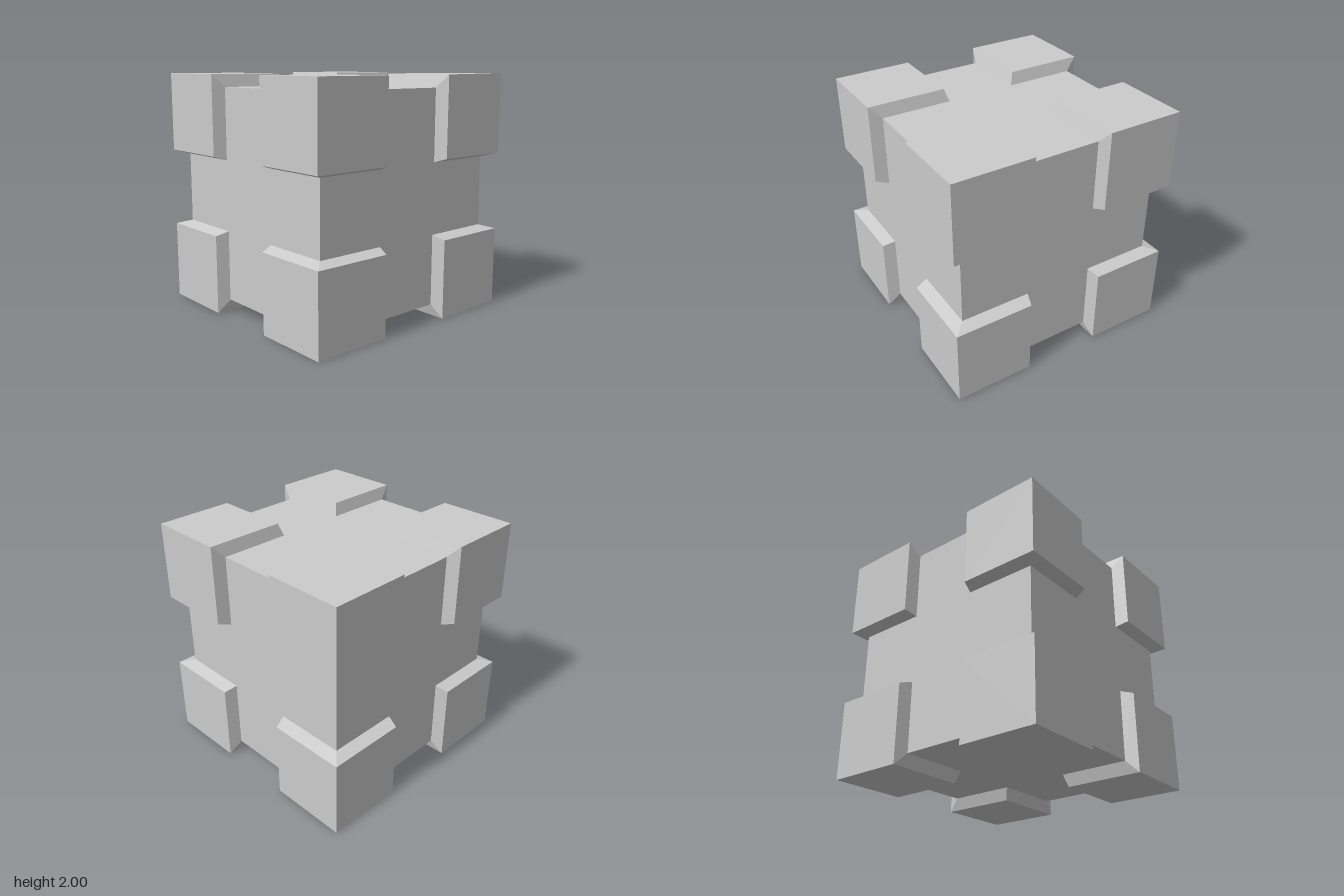
import * as THREE from 'three';

const CORE = 0.896;  // half size of the core cube
const INNER = 0.333; // inner edge of a corner block at its outer face
const FOOT = 0.3;    // inner edge of a corner block where it meets the core

// Corner block: three square outer faces, each with two sloping skirts down to the core
function cornerGeometry(sx, sy, sz) {
  const a = INNER, b = FOOT, c = CORE;
  const quads = [
    [[a, a, 1], [1, a, 1], [1, 1, 1], [a, 1, 1]],
    [[a, a, 1], [a, 1, 1], [b, c, c], [b, b, c]],
    [[a, a, 1], [b, b, c], [c, b, c], [1, a, 1]],
  ];
  const order = sx * sy * sz > 0 ? [0, 1, 2, 0, 2, 3] : [0, 2, 1, 0, 3, 2];
  const positions = [];
  for (let axis = 0; axis < 3; axis++) {
    for (const quad of quads) {
      for (const i of order) {
        const p = quad[i];
        // Cycle the axes to repeat the z-facing side on x and y
        positions.push(
          sx * p[axis],
          sy * p[(axis + 1) % 3],
          sz * p[(axis + 2) % 3],
        );
      }
    }
  }
  const geometry = new THREE.BufferGeometry();
  geometry.setAttribute('position', new THREE.Float32BufferAttribute(positions, 3));
  geometry.computeVertexNormals();
  return geometry;
}

export function createModel() {
  const model = new THREE.Group();
  model.name = 'corneredCube';
  const material = new THREE.MeshStandardMaterial({ color: 0xcccccc, flatShading: true });

  // Core cube
  const core = new THREE.Mesh(new THREE.BoxGeometry(2 * CORE, 2 * CORE, 2 * CORE), material);
  core.name = 'core';
  core.position.y = 1;
  model.add(core);

  // Eight mirrored corner blocks
  for (const sx of [-1, 1]) {
    for (const sy of [-1, 1]) {
      for (const sz of [-1, 1]) {
        const block = new THREE.Mesh(cornerGeometry(sx, sy, sz), material);
        block.name = `${sy > 0 ? 'top' : 'bottom'}${sz > 0 ? 'Front' : 'Back'}${sx > 0 ? 'Left' : 'Right'}Corner`;
        block.position.y = 1;
        model.add(block);
      }
    }
  }
  return model;
}
